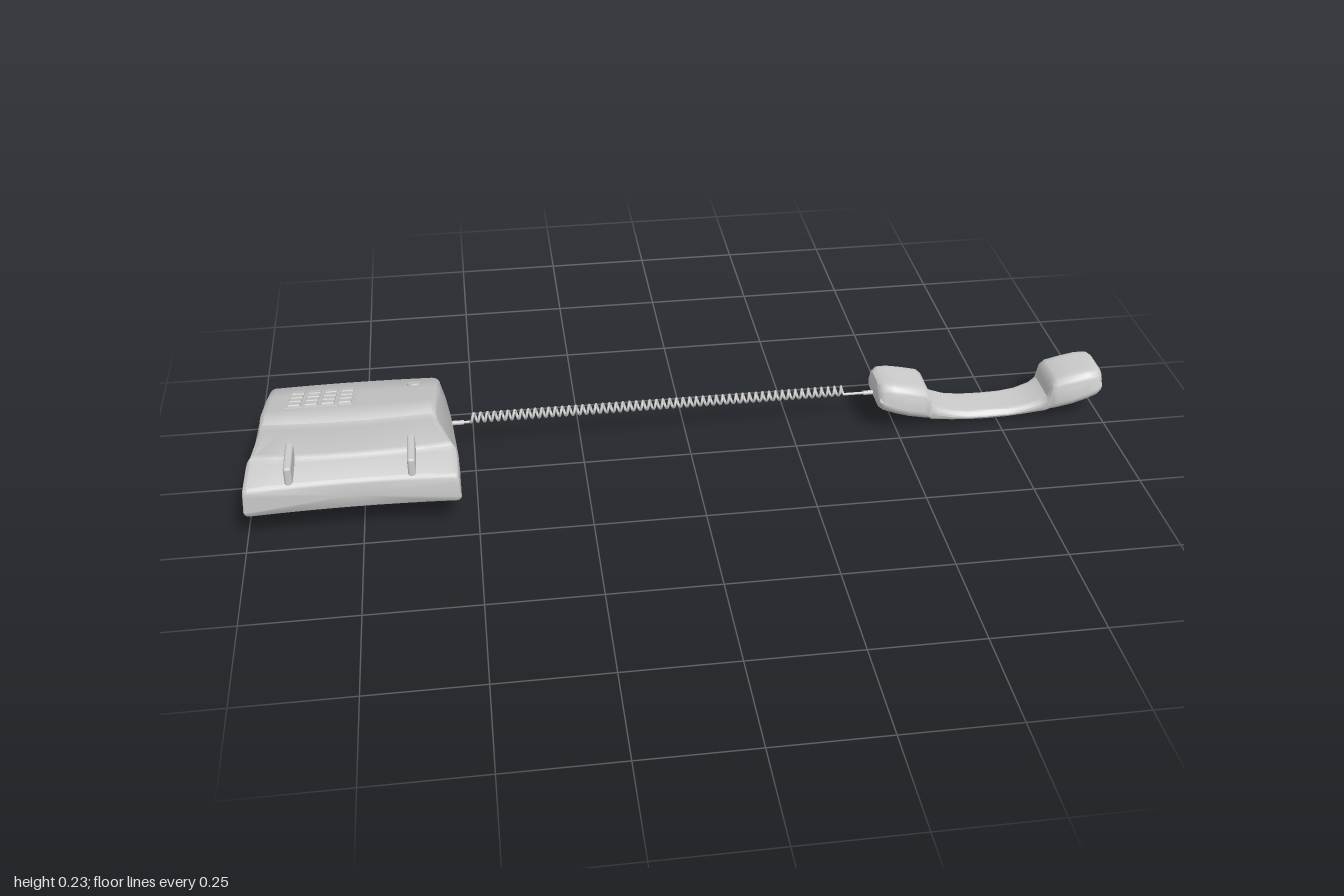
import * as THREE from 'three';
import { toCreasedNormals } from 'three/addons/utils/BufferGeometryUtils.js';
import { RoundedBoxGeometry } from 'three/addons/geometries/RoundedBoxGeometry.js';

const material = new THREE.MeshStandardMaterial({ color: 0xcccccc, roughness: 0.6 });

function addMesh(parent, name, geometry, x = 0, y = 0, z = 0) {
  const mesh = new THREE.Mesh(geometry, material);
  mesh.name = name;
  mesh.position.set(x, y, z);
  parent.add(mesh);
  return mesh;
}

// Rounded trapezoid, counter-clockwise, with a fixed number of points
function roundedRing(bottom, top, y0, y1, radius) {
  const r = Math.min(radius, (y1 - y0) * 0.46);
  const corners = [[top - r, y1 - r], [r - top, y1 - r], [r - bottom, y0 + r], [bottom - r, y0 + r]];
  const points = [];
  corners.forEach(([cx, cy], k) => {
    for (let i = 0; i <= 5; i++) {
      const a = (k + i / 5) * Math.PI / 2;
      points.push([cx + r * Math.cos(a), cy + r * Math.sin(a)]);
    }
    // Extra points along the top and bottom so that bowed sections stay curved
    if (k % 2 === 0) {
      const [nx, ny] = corners[k + 1];
      const dy = k === 0 ? r : -r;
      for (let i = 1; i < 8; i++) points.push([cx + (nx - cx) * i / 8, ny + dy]);
    }
  });
  return points;
}

// Skin over sections [z, halfBottom, halfTop, y0, y1, radius, bow], ordered by rising z
function loft(sections) {
  const positions = [], indices = [];
  let n = 0;
  for (const [z, hb, ht, y0, y1, r, bow = 0] of sections) {
    const ring = roundedRing(hb, ht, y0, y1, r);
    n = ring.length;
    for (const [x, y] of ring) positions.push(x, y, z + bow * (1 - (x / hb) ** 2));
  }
  for (let s = 0; s < sections.length - 1; s++) {
    for (let i = 0; i < n; i++) {
      const a = s * n + i, b = s * n + (i + 1) % n;
      indices.push(a, b, b + n, a, b + n, a + n);
    }
  }
  // End caps
  [0, sections.length - 1].forEach((s, end) => {
    const [z, , , y0, y1, , bow = 0] = sections[s];
    const centre = positions.length / 3;
    positions.push(0, (y0 + y1) / 2, z + bow);
    for (let i = 0; i < n; i++) {
      const a = s * n + i, b = s * n + (i + 1) % n;
      indices.push(centre, end ? a : b, end ? b : a);
    }
  });
  const geometry = new THREE.BufferGeometry();
  geometry.setAttribute('position', new THREE.Float32BufferAttribute(positions, 3));
  geometry.setIndex(indices);
  return toCreasedNormals(geometry, 0.7);
}

function createBase() {
  const base = new THREE.Group();
  base.name = 'base';
  base.position.x = -0.766;
  // Wedge housing with the low cradle shelf in front
  addMesh(base, 'housing', loft([
    [-0.207, 0.192, 0.187, 0.076, 0.112, 0.012, -0.008],
    [-0.203, 0.201, 0.193, 0.069, 0.128, 0.015, -0.008],
    [-0.192, 0.207, 0.197, 0.067, 0.142, 0.018, -0.006],
    [-0.1, 0.218, 0.197, 0.067, 0.174, 0.018],
    [0.03, 0.228, 0.194, 0.067, 0.218, 0.018],
    [0.058, 0.23, 0.192, 0.067, 0.228, 0.018, 0.008],
    [0.08, 0.231, 0.191, 0.067, 0.229, 0.018, 0.015],
    [0.09, 0.231, 0.192, 0.067, 0.224, 0.018, 0.016],
    [0.094, 0.231, 0.194, 0.067, 0.212, 0.016, 0.016],
    [0.096, 0.231, 0.22, 0.067, 0.15, 0.012, 0.013],
    [0.102, 0.232, 0.227, 0.067, 0.142, 0.012, 0.012],
    [0.12, 0.232, 0.229, 0.067, 0.138, 0.012, 0.005],
    [0.207, 0.233, 0.23, 0.067, 0.138, 0.012, -0.007],
    [0.213, 0.233, 0.229, 0.068, 0.134, 0.012, -0.008],
    [0.216, 0.231, 0.226, 0.071, 0.127, 0.012, -0.009],
  ]));
  // Cradle fins that hold the handset
  for (const side of [-1, 1]) {
    addMesh(base, 'cradleFin', new RoundedBoxGeometry(0.017, 0.055, 0.115, 3, 0.006), side * 0.131, 0.15, 0.1475);
  }
  // Sloping control face
  const slope = 0.341, tilt = -Math.atan(slope);
  const surface = (z) => 0.2075 + slope * z;
  const keypad = new THREE.Group();
  keypad.name = 'keypad';
  keypad.position.set(-0.066, surface(-0.055), -0.055);
  keypad.rotation.x = tilt;
  base.add(keypad);
  addMesh(keypad, 'keypadPlate', new THREE.BoxGeometry(0.152, 0.004, 0.158));
  const keyShape = new RoundedBoxGeometry(0.029, 0.012, 0.031, 2, 0.003);
  for (let row = 0; row < 4; row++) {
    for (let column = 0; column < 4; column++) {
      addMesh(keypad, 'key', keyShape, (column - 1.5) * 0.037, 0.001, (row - 1.5) * 0.0385);
    }
  }
  const button = addMesh(base, 'roundButton', new THREE.CylinderGeometry(0.015, 0.016, 0.008, 24), 0.138, surface(-0.136), -0.136);
  button.rotation.x = tilt;
  // Line socket at the back
  addMesh(base, 'lineSocket', new RoundedBoxGeometry(0.03, 0.02, 0.012, 2, 0.003), 0, 0.092, -0.213);
  return base;
}

function createHandset() {
  // Half of the handset from tip to middle, mirrored to the other end
  const half = [
    [-0.275, 0.048, 0.044, 0.072, 0.104, 0.02],
    [-0.271, 0.06, 0.054, 0.063, 0.117, 0.024],
    [-0.26, 0.067, 0.06, 0.057, 0.124, 0.025],
    [-0.235, 0.071, 0.063, 0.049, 0.123, 0.025],
    [-0.2, 0.071, 0.064, 0.038, 0.116, 0.025],
    [-0.162, 0.067, 0.064, 0.028, 0.107, 0.025],
    [-0.151, 0.063, 0.061, 0.025, 0.098, 0.023],
    [-0.146, 0.06, 0.058, 0.023, 0.078, 0.02],
    [-0.142, 0.057, 0.056, 0.021, 0.06, 0.014],
    [-0.125, 0.052, 0.053, 0.016, 0.048, 0.014],
    [-0.09, 0.045, 0.051, 0.008, 0.036, 0.014],
    [-0.05, 0.041, 0.05, 0.002, 0.031, 0.014],
  ];
  const middle = [0, 0.04, 0.05, 0, 0.03, 0.014];
  const mirrored = half.map(([u, ...rest]) => [-u, ...rest]).reverse();
  const handset = new THREE.Group();
  handset.name = 'handset';
  const grip = addMesh(handset, 'handsetShell', loft([...half, middle, ...mirrored]), 0.725, 0, -0.088);
  grip.rotation.y = Math.PI / 2;
  return handset;
}

// Helix along x
class Coil extends THREE.Curve {
  getPoint(t, target = new THREE.Vector3()) {
    const a = t * 56 * Math.PI * 2 - Math.PI / 2;
    return target.set(-0.505 + 0.885 * t, 0.087 + 0.0105 * Math.sin(a), -0.091 + 0.0105 * Math.cos(a));
  }
}

function createCord() {
  const cord = new THREE.Group();
  cord.name = 'cord';
  const coil = new Coil();
  coil.arcLengthDivisions = 2000;
  addMesh(cord, 'coiledCord', new THREE.TubeGeometry(coil, 56 * 14, 0.0032, 6));
  for (const [x0, x1] of [[-0.56, -0.503], [0.378, 0.47]]) {
    const lead = addMesh(cord, 'cordLead', new THREE.CylinderGeometry(0.0032, 0.0032, x1 - x0, 8), (x0 + x1) / 2, 0.0765, -0.091);
    lead.rotation.z = Math.PI / 2;
  }
  // Strain relief sleeves at both plugs
  for (const x of [-0.535, 0.442]) {
    const sleeve = addMesh(cord, 'cordSleeve', new THREE.CylinderGeometry(0.0055, 0.0055, 0.03, 10), x, 0.0765, -0.091);
    sleeve.rotation.z = Math.PI / 2;
  }
  return cord;
}

export function createModel() {
  const telephone = new THREE.Group();
  telephone.name = 'telephone';
  telephone.add(createBase(), createHandset(), createCord());
  return telephone;
}
